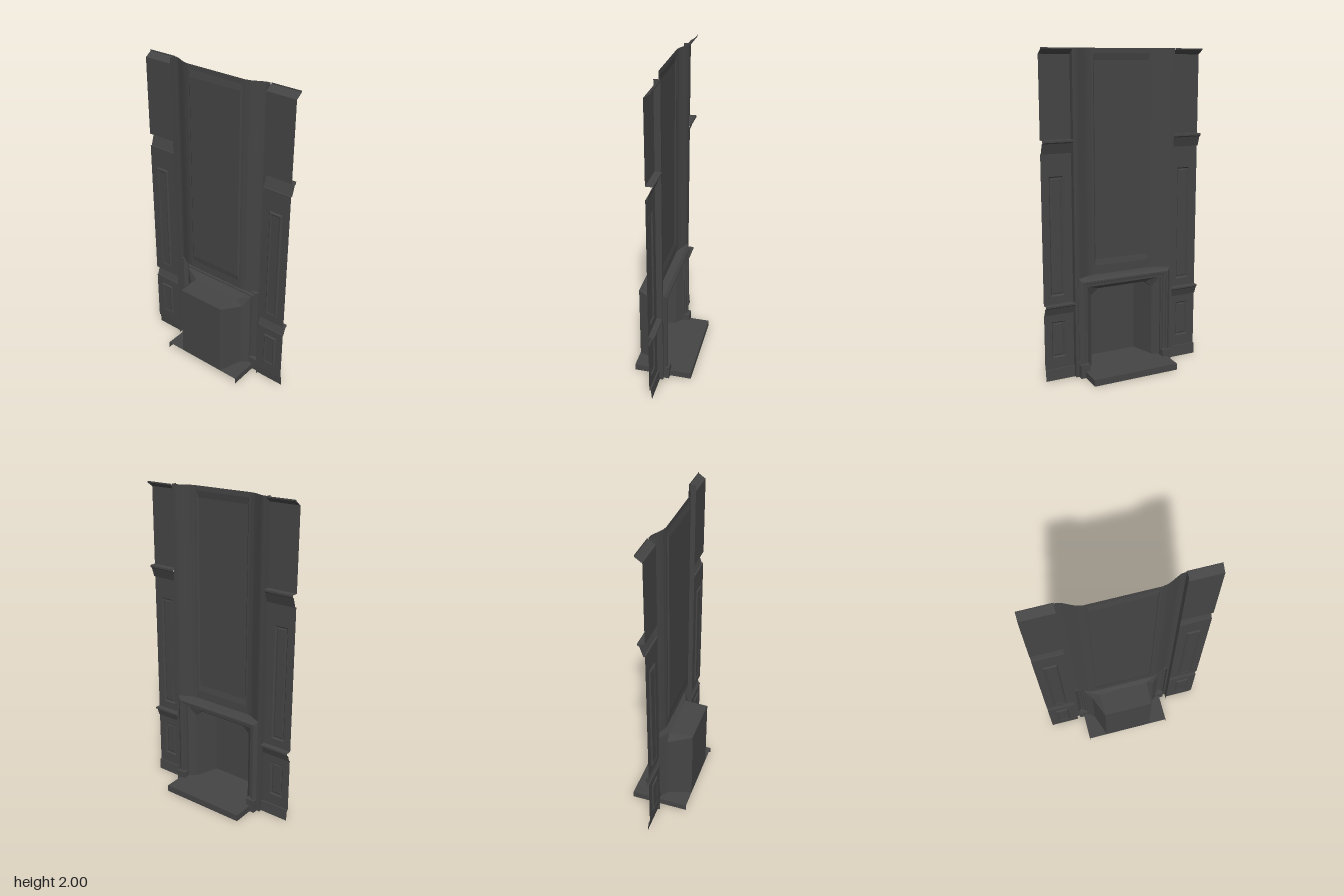
import * as THREE from 'three';

const material = new THREE.MeshStandardMaterial({ color: 0x444444, side: THREE.DoubleSide });

// Sheet stretched over rows of points; each row has the same number of points
function loft(rows, closed = false) {
  const position = [];
  for (let i = 0; i < rows.length - 1; i++) {
    const a = rows[i], b = rows[i + 1];
    const count = closed ? a.length : a.length - 1;
    for (let j = 0; j < count; j++) {
      const k = (j + 1) % a.length;
      position.push(...a[j], ...a[k], ...b[k], ...a[j], ...b[k], ...b[j]);
    }
  }
  const geometry = new THREE.BufferGeometry();
  geometry.setAttribute('position', new THREE.Float32BufferAttribute(position, 3));
  geometry.computeVertexNormals();
  return geometry;
}

function add(parent, name, geometry) {
  const mesh = new THREE.Mesh(geometry, material);
  mesh.name = name;
  parent.add(mesh);
  return mesh;
}

// Rectangle loop in the xy plane at depth z
const rect = (x0, x1, y0, y1, z) => [[x0, y0, z], [x1, y0, z], [x1, y1, z], [x0, y1, z]];

// Wall sheet with a sunken panel: nested rectangles closed by a flat centre
function panelWall(parent, name, loops) {
  add(parent, name, loft(loops.map((l) => rect(...l)), true));
  const [x0, x1, y0, y1, z] = loops[loops.length - 1];
  add(parent, name + 'Centre', loft([
    [[x0, y0, z], [x1, y0, z]],
    [[x0, y1, z], [x1, y1, z]],
  ]));
}

// Mirror a half outline (x >= 0, bottom to top) into a full open arch
const arch = (half, z) => [
  ...half.map(([x, y]) => [-x, y, z]),
  ...[...half].reverse().map(([x, y]) => [x, y, z]),
];

function sideWall(s) {
  const wall = new THREE.Group();
  wall.name = s > 0 ? 'leftSideWall' : 'rightSideWall';
  const a = 0.335, b = 0.525, z = 0.022;

  // Horizontal mouldings as [y, z] profiles
  const trims = {
    cornice: [[2, -0.02], [1.992, -0.02], [1.97, 0.012], [1.965, z]],
    upperWall: [[1.965, z], [1.48, z]],
    upperRail: [[1.48, z], [1.48, -0.02], [1.468, -0.02], [1.46, -0.008], [1.4, 0.012], [1.4, z]],
    lowerRail: [[0.485, z], [0.485, -0.015], [0.475, -0.015], [0.465, 0], [0.42, 0.015], [0.42, z]],
    skirting: [[0.07, z], [0.07, 0.012], [0, 0.006]],
  };
  for (const [name, profile] of Object.entries(trims)) {
    add(wall, name, loft(profile.map(([y, d]) => [[s * a, y, d], [s * b, y, d]])));
  }

  // Tall and short sunken panels
  for (const [name, y0, y1, p0, p1] of [
    ['tallPanel', 0.485, 1.4, 0.535, 1.265],
    ['shortPanel', 0.07, 0.42, 0.14, 0.37],
  ]) {
    const ring = (d, depth) => [s * (0.388 + d), s * (0.476 - d), p0 + d, p1 - d, depth];
    panelWall(wall, name, [
      [s * a, s * b, y0, y1, z], ring(0, z), ring(0.007, 0.03), ring(0.012, 0.03), ring(0.018, 0.027),
    ]);
  }
  return wall;
}

export function createModel() {
  const model = new THREE.Group();
  model.name = 'panelledFireplace';
  for (const s of [-1, 1]) model.add(sideWall(s));

  // Chimney wall: curved flanks around a flat centre
  const breast = new THREE.Group();
  breast.name = 'chimneyWall';
  model.add(breast);
  const curve = [[0.315, -0.014], [0.3, -0.01], [0.28, 0], [0.255, 0.013], [0.23, 0.024], [0.2, 0.03]];
  const edge = [[0.335, 0.022], [0.335, -0.015], [0.315, -0.014]];
  const column = (points, s, y) => points.map(([x, z]) => [s * x, y, z]);
  for (const s of [-1, 1]) {
    add(breast, 'edgeStrip', loft([column(edge, s, 0), column(edge, s, 2)]));
    add(breast, 'curvedFlank', loft([column(curve, s, 0.635), column(curve, s, 2)]));
  }
  panelWall(breast, 'overmantelPanel', [
    [-0.2, 0.2, 0.635, 2, 0.03],
    [-0.186, 0.186, 0.69, 1.97, 0.03],
    [-0.178, 0.178, 0.728, 1.93, 0.037],
  ]);

  // Fireplace surround: stepped moulding swept around the arch
  const surround = new THREE.Group();
  surround.name = 'surround';
  model.add(surround);
  const moulding = [
    [0, 0], [0, -0.02], [0.008, -0.026], [0.02, -0.036], [0.03, -0.036],
    [0.034, -0.026], [0.046, -0.024], [0.05, -0.012], [0.06, -0.012], [0.06, 0],
  ];
  add(surround, 'frameMoulding', loft(moulding.map(([d, z]) =>
    arch([[0.315 - d, 0], [0.315 - d, 0.635 - d]], z))));
  const back = [...column(curve, -1, 0.635), ...column([...curve].reverse(), 1, 0.635)];
  add(surround, 'mantelTop', loft([back.map(([x, y]) => [x, y, 0]), back]));
  for (const s of [-1, 1]) {
    const plinth = add(surround, 'plinthBlock', new THREE.BoxGeometry(0.06, 0.085, 0.049));
    plinth.position.set(s * 0.285, 0.0425, -0.0245);
  }

  // Splayed slip between the frame and the clipped opening
  const opening = arch([[0.212, 0.042], [0.212, 0.502], [0.165, 0.543]], 0.032);
  add(surround, 'slip', loft([
    arch([[0.255, 0.042], [0.255, 0.575], [0.25, 0.575]], 0), opening,
  ]));

  // Firebox: tapering walls and roof with a flat back
  const rear = arch([[0.16, 0.042], [0.16, 0.543], [0.157, 0.545]], 0.184);
  add(model, 'fireboxWalls', loft([opening, rear]));
  add(model, 'fireboxBack', loft([rear.slice(0, 3), rear.slice(3).reverse()]));

  // Hearth: a slab open underneath and at the rear
  const h = 0.285, d = 0.185, t = 0.042;
  add(model, 'hearthTop', loft([
    [[-h, t, d], [h, t, d]],
    [[-h, t, -d], [h, t, -d]],
  ]));
  const rim = (y) => [[-h, y, d], [-h, y, -d], [h, y, -d], [h, y, d]];
  add(model, 'hearthSkirt', loft([rim(0), rim(t)]));

  return model;
}
